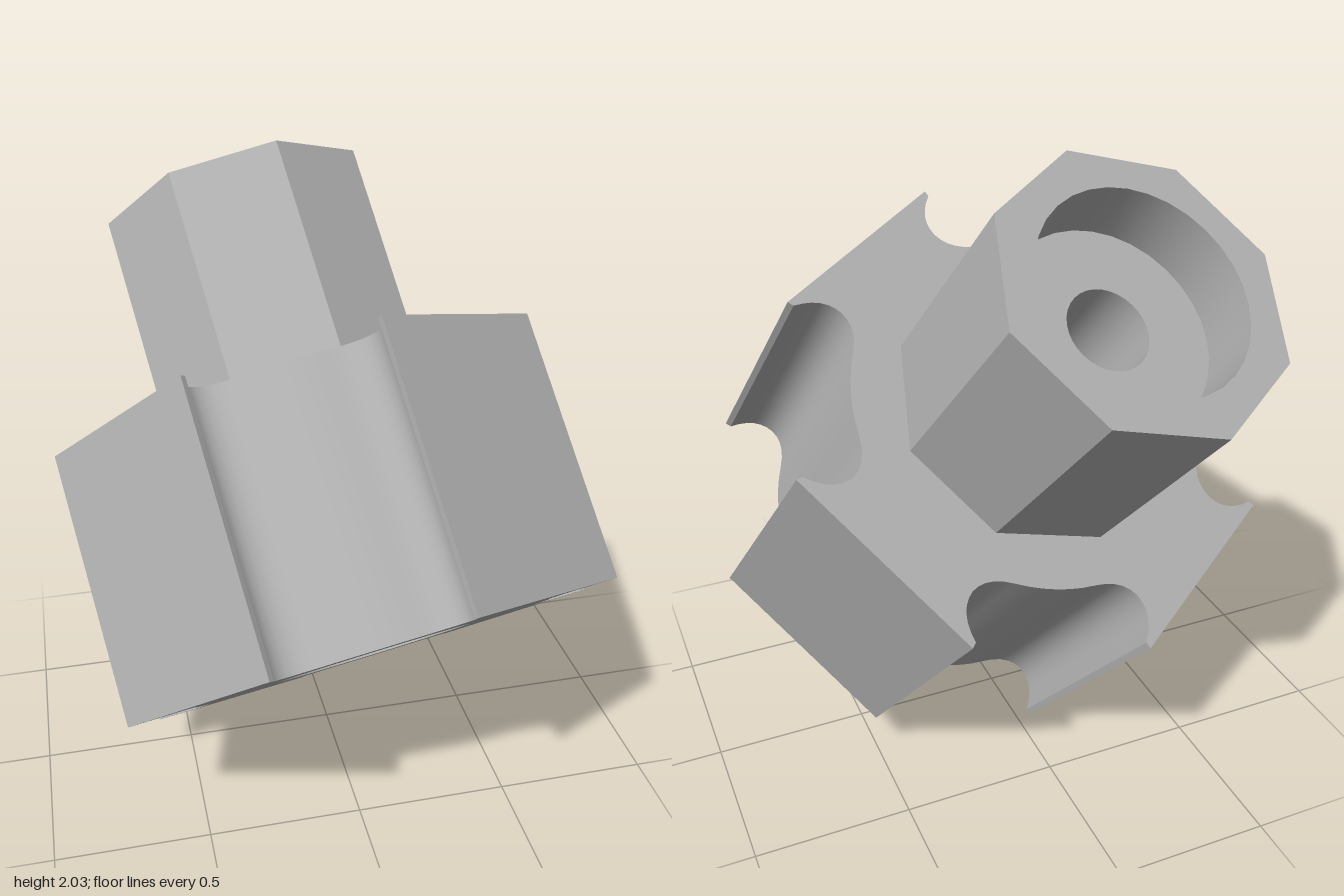
import * as THREE from 'three';
import { toCreasedNormals } from 'three/addons/utils/BufferGeometryUtils.js';

const HUB_TOP = 0.86;      // height of the four-armed hub along its axis
const TOP = 1.585;         // height of the octagonal shaft end
const BORE = 0.13, RECESS = 0.325, RECESS_DEPTH = 0.215;
const HUB_R = 0.59, ARM_R = 0.745, PAD_HALF = 0.34, NECK_HALF = 0.235;

// Hub outline: round core with four arms that flare into flat pads
function hubOutline() {
  const pts = [];
  for (let k = 0; k < 4; k++) {
    const turn = (k * Math.PI) / 2;
    const add = (x, y) => pts.push(new THREE.Vector2(x, y).rotateAround(new THREE.Vector2(), turn));
    const flare = new THREE.QuadraticBezierCurve(
      new THREE.Vector2(0.615, NECK_HALF), new THREE.Vector2(0.69, NECK_HALF + 0.005),
      new THREE.Vector2(ARM_R - 0.02, PAD_HALF - 0.005)).getPoints(6);
    const root = new THREE.QuadraticBezierCurve(
      new THREE.Vector2(HUB_R * Math.cos(0.56), HUB_R * Math.sin(0.56)),
      new THREE.Vector2(0.55, NECK_HALF), new THREE.Vector2(0.615, NECK_HALF)).getPoints(5);
    const side = [...root, ...flare.slice(1)];
    side.forEach((p) => add(p.x, -p.y));
    add(ARM_R, -PAD_HALF);
    add(ARM_R, PAD_HALF);
    side.reverse().forEach((p) => add(p.x, p.y));
    // round core between this arm and the next
    for (let i = 1; i < 6; i++) {
      const a = 0.56 + ((Math.PI / 2 - 1.12) * i) / 6;
      add(HUB_R * Math.cos(a), HUB_R * Math.sin(a));
    }
  }
  return pts;
}

// Regular polygon outline
function ring(radius, sides, phase = 0) {
  return Array.from({ length: sides }, (_, i) => {
    const a = phase + (i * 2 * Math.PI) / sides;
    return new THREE.Vector2(radius * Math.cos(a), radius * Math.sin(a));
  });
}

// Side walls of a prism, without its caps
function wall(outline, depth) {
  const full = new THREE.ExtrudeGeometry(new THREE.Shape(outline), { depth, bevelEnabled: false, steps: 1 });
  const { start, count } = full.groups[1];
  const g = new THREE.BufferGeometry();
  const p = full.attributes.position.array.slice(start * 3, (start + count) * 3);
  g.setAttribute('position', new THREE.BufferAttribute(p, 3));
  g.computeVertexNormals();
  return toCreasedNormals(g, 0.55);
}

// Flat face with one opening
function face(outline, opening) {
  const s = new THREE.Shape(outline);
  s.holes.push(new THREE.Path(opening));
  return new THREE.ShapeGeometry(s);
}

export function createModel() {
  const grey = new THREE.MeshStandardMaterial({ color: 0xb0b0b0, side: THREE.DoubleSide });
  grey.name = 'plain grey';
  const model = new THREE.Group();
  model.name = 'pipeFitting';
  const add = (name, geometry, z = 0) => {
    const mesh = new THREE.Mesh(geometry, grey);
    mesh.name = name;
    mesh.position.z = z;
    fitting.add(mesh);
    return mesh;
  };

  // The fitting is built along its own z axis, then tilted
  const fitting = new THREE.Group();
  fitting.name = 'tiltedFitting';
  model.add(fitting);

  const hub = hubOutline();
  const octagon = ring(0.455, 8, Math.PI / 8);
  const opening = ring(RECESS, 32);

  // Four-armed hub
  add('hubWall', wall(hub, HUB_TOP));
  const base = face(hub, opening);
  base.scale(1, -1, 1); // symmetric outline, turned to face downwards
  base.index.array.reverse();
  base.rotateX(Math.PI);
  base.scale(1, 1, 1);
  base.computeVertexNormals();
  const b = base.attributes.normal;
  if (b.getZ(0) > 0) {
    base.index.array.reverse();
    base.computeVertexNormals();
  }
  add('hubBase', base);
  add('hubShoulder', face(hub, octagon), HUB_TOP);

  // Octagonal shaft
  add('shaftWall', wall(octagon, TOP - HUB_TOP), HUB_TOP);
  add('shaftEnd', face(octagon, opening), TOP);

  // Through bore with a wide recess at both ends
  const profile = [
    [RECESS, TOP], [RECESS, TOP - RECESS_DEPTH], [BORE, TOP - RECESS_DEPTH],
    [BORE, RECESS_DEPTH], [RECESS, RECESS_DEPTH], [RECESS, 0],
  ].map(([r, h]) => new THREE.Vector2(r, h));
  const bore = new THREE.LatheGeometry(profile, 32).toNonIndexed();
  bore.rotateX(Math.PI / 2);
  bore.computeVertexNormals();
  add('bore', toCreasedNormals(bore, 0.6));

  // Tilt: axis leans up and back, one arm points to the front left
  const axis = new THREE.Vector3(-0.151, 0.751, -0.643).normalize();
  const arm = new THREE.Vector3(0.54, 0.61, 0.585);
  arm.addScaledVector(axis, -arm.dot(axis)).normalize();
  const across = new THREE.Vector3().crossVectors(axis, arm);
  fitting.quaternion.setFromRotationMatrix(new THREE.Matrix4().makeBasis(arm, across, axis));
  fitting.position.set(0.07, 0.535, 0.37);
  return model;
}
